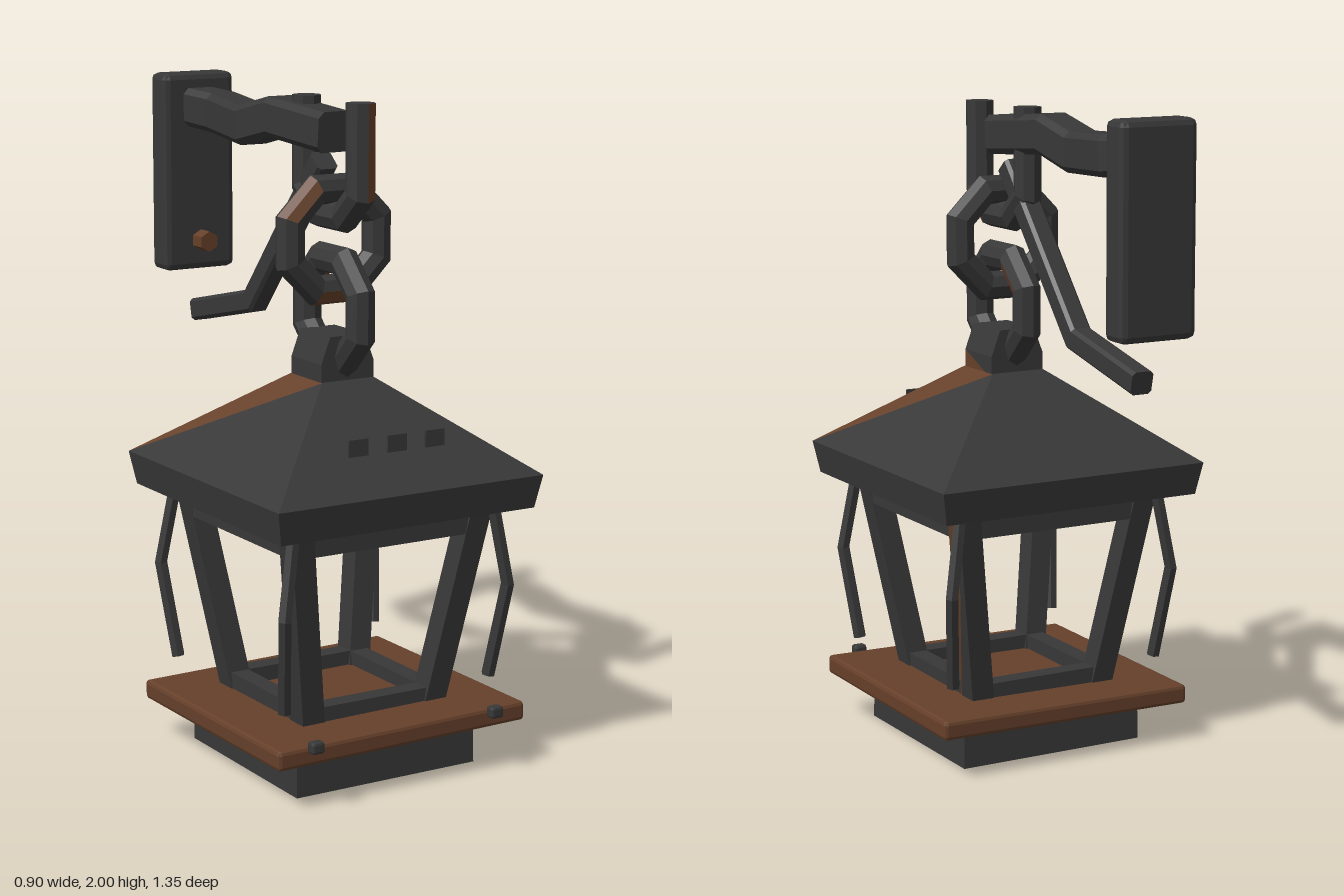
import * as THREE from 'three';
import { RoundedBoxGeometry } from 'three/addons/geometries/RoundedBoxGeometry.js';

const V = (x, y, z) => new THREE.Vector3(x, y, z);
const CZ = 0.225; // z of the lantern's axis

export function createModel() {
  const model = new THREE.Group();
  const iron = new THREE.MeshStandardMaterial({ color: 0x383838 });
  iron.name = 'dark iron';
  const rust = new THREE.MeshStandardMaterial({ color: 0x66402a });
  rust.name = 'rust';

  function add(name, geometry, material = iron) {
    const flat = geometry.index ? geometry.toNonIndexed() : geometry;
    flat.computeVertexNormals();
    const mesh = new THREE.Mesh(flat, material);
    mesh.name = name;
    model.add(mesh);
    return mesh;
  }

  // Skin over a row of cross-sections; isRust(section, side, triangle) picks rusted faces
  // (section -1 is the start cap).
  function loft(name, rings, isRust = () => false, caps = true) {
    const faces = [[], []];
    const tri = (r, ...pts) => pts.forEach((p) => faces[r ? 1 : 0].push(p.x, p.y, p.z));
    const n = rings[0].length;
    for (let i = 0; i < rings.length - 1; i++) {
      for (let j = 0; j < n; j++) {
        const k = (j + 1) % n;
        const a = rings[i][j], b = rings[i][k], c = rings[i + 1][k], d = rings[i + 1][j];
        tri(isRust(i, j, 0), a, b, c);
        tri(isRust(i, j, 1), a, c, d);
      }
    }
    if (caps) {
      const s = rings[0], e = rings[rings.length - 1];
      for (let j = 1; j < n - 1; j++) {
        tri(isRust(-1, 0, j - 1), s[0], s[j + 1], s[j]);
        tri(false, e[0], e[j], e[j + 1]);
      }
    }
    const geo = new THREE.BufferGeometry();
    geo.setAttribute('position', new THREE.Float32BufferAttribute([...faces[0], ...faces[1]], 3));
    geo.addGroup(0, faces[0].length / 3, 0);
    geo.addGroup(faces[0].length / 3, faces[1].length / 3, 1);
    return add(name, geo, [iron, rust]);
  }

  // Mitred sweep of a flat section along a bent path; side is the path's plane normal.
  function sweep(name, path, section, side, isRust, closed = false) {
    const n = path.length;
    const rings = path.map((p, i) => {
      const prev = closed ? path[(i + n - 1) % n] : path[Math.max(i - 1, 0)];
      const next = closed ? path[(i + 1) % n] : path[Math.min(i + 1, n - 1)];
      const d0 = p.clone().sub(prev).normalize(), d1 = next.clone().sub(p).normalize();
      const t = d0.clone().add(d1).normalize();
      const mitre = 1 / t.dot(d1.lengthSq() ? d1 : d0);
      const b = t.clone().cross(side).normalize();
      const s = b.clone().cross(t);
      return section.map(([u, v]) => p.clone().addScaledVector(s, u).addScaledVector(b, v * mitre));
    });
    if (closed) rings.push(rings[0]);
    return loft(name, rings, isRust, !closed);
  }

  const polygon = (n, r, turn = 0) => Array.from({ length: n }, (_, i) => {
    const a = (i / n) * Math.PI * 2 + turn;
    return [r * Math.cos(a), r * Math.sin(a)];
  });
  const chamfered = (h, c) => [[h, -h + c], [h, h - c], [h - c, h], [-h + c, h],
    [-h, h - c], [-h, -h + c], [-h + c, -h], [h - c, -h]];
  // Horizontal square: corners +x+z, +x-z, -x-z, -x+z
  const square = (h, y, x = 0, z = CZ) =>
    [[1, 1], [1, -1], [-1, -1], [-1, 1]].map(([a, b]) => V(x + a * h, y, z + b * h));

  // Wall plate and its bolt
  const plate = add('wallPlate', new RoundedBoxGeometry(0.25, 0.625, 0.1, 1, 0.02));
  plate.position.set(0, 1.688, -0.627);
  const bolt = add('wallBolt', new THREE.CylinderGeometry(0.033, 0.033, 0.06, 6), rust);
  bolt.rotation.x = Math.PI / 2;
  bolt.position.set(0, 1.47, -0.55);

  // Crooked arm and bent brace
  sweep('arm', [V(0, 1.895, -0.59), V(0.022, 1.885, -0.47), V(-0.02, 1.872, -0.21),
    V(-0.02, 1.912, -0.04), V(-0.005, 1.89, 0.245)], chamfered(0.06, 0.018), V(1, 0, 0));
  sweep('brace', [V(0, 1.245, -0.585), V(0, 1.325, -0.23), V(0, 1.8, 0.175)],
    chamfered(0.035, 0.01), V(1, 0, 0));

  // Chain: open hook and two octagonal links
  const round = polygon(8, 0.044);
  sweep('hook', [V(0, 1.985, CZ + 0.15), V(0, 1.72, CZ + 0.15), V(0, 1.645, CZ + 0.065),
    V(0, 1.645, CZ - 0.065), V(0, 1.72, CZ - 0.15), V(0, 1.985, CZ - 0.15)],
  round, V(1, 0, 0), (i, j) => (i === 0 && j === 1) || (i === 1 && j === 0));
  const octagon = polygon(8, 0.16, Math.PI / 8);
  const rustyLink = (i, j) => (i === 2 || i === 5) && j < 2;
  sweep('upperLink', octagon.map(([u, v]) => V(u, 1.575 + v, CZ + 0.005)),
    round, V(0, 0, 1), rustyLink, true);
  sweep('lowerLink', octagon.map(([u, v]) => V(0, 1.367 + v, CZ + 0.005 + u)),
    round, V(1, 0, 0), rustyLink, true);

  // Lug on the roof's peak
  const lug = [[-0.09, 1.15], [0.09, 1.15], [0.09, 1.22], [0.06, 1.3], [-0.06, 1.3], [-0.09, 1.22]];
  loft('lug', [0.14, 0.31].map((z) => lug.map(([x, y]) => V(x, y, z))),
    (i, j, t) => i === 0 && j === 1 && t === 1);

  // Roof with fascia and two rusted slope halves
  loft('roof', [square(0.432, 0.8), square(0.45, 0.9), square(0.09, 1.167)],
    (i, j, t) => i === 1 && j % 2 === 0 && t === 1);
  loft('roofRim', [square(0.37, 0.785), square(0.4, 0.802)]);
  for (const x of [-0.13, 0, 0.13]) {
    add('roofVent', new THREE.BoxGeometry(0.065, 0.05, 0.008)).position.set(x, 1.03, 0.577);
  }

  // Cage: leaning corner posts, bent outer struts, rails
  for (const sx of [-1, 1]) {
    for (const sz of [-1, 1]) {
      const post = (o, y) => square(0.037, y, sx * o, CZ + sz * o);
      loft('post', [post(0.21, 0.17), post(0.307, 0.79)],
        (i, j, t) => sx > 0 && sz < 0 && i === 0 && j === 0 && t === 1);
      sweep('strut', [V(sx * 0.355, 0.27, CZ + sz * 0.32), V(sx * 0.384, 0.56, CZ + sz * 0.372),
        V(sx * 0.345, 0.79, CZ + sz * 0.352)], polygon(6, 0.021), V(1, 0, 0));
    }
  }
  for (let q = 0; q < 4; q++) {
    const a = (q * Math.PI) / 2;
    for (const [name, y, h, o] of [['topRail', 0.755, 0.07, 0.302], ['bottomRail', 0.207, 0.055, 0.215]]) {
      const rail = add(name, new THREE.BoxGeometry(o * 2, h, 0.06));
      rail.position.set(Math.sin(a) * o, y, CZ + Math.cos(a) * o);
      rail.rotation.y = a;
    }
  }

  // Slightly tilted rusty tray with two front studs
  const tray = add('tray', new RoundedBoxGeometry(0.855, 0.06, 0.815, 1, 0.012), rust);
  tray.position.set(0, 0.16, CZ + 0.003);
  tray.rotation.set(-0.008, 0, 0.012);
  for (const x of [-0.315, 0.305]) {
    add('trayStud', new RoundedBoxGeometry(0.042, 0.036, 0.034, 1, 0.008)).position.set(x, 0.192, 0.655);
  }

  // Base block, half of its underside rusted
  loft('base', [square(0.31, 0, 0, 0.23), square(0.308, 0.135, 0, 0.23)], (i, j, t) => i === -1 && t === 0);

  return model;
}
